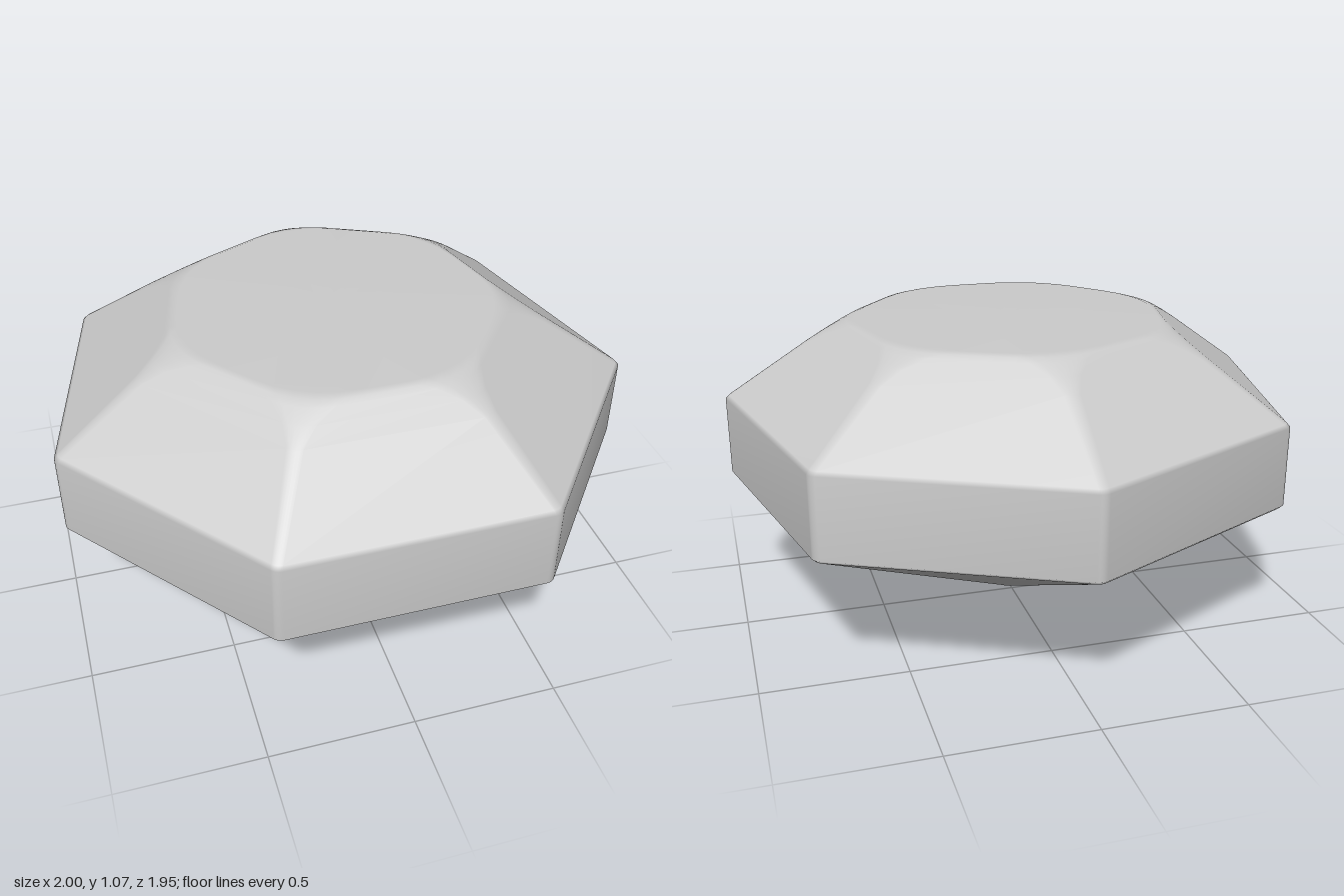
import * as THREE from 'three';

const SIDES = 7;
const STEP = (Math.PI * 2) / SIDES;
const ARC = 5; // segments per rounded corner
const CENTRE_Z = 0.049; // the seven-sided outline is not symmetric in z

// Heptagon with a flat side facing +z, corners rounded by the given radius
function ring(y, apothem, radius) {
  const points = [];
  const reach = (apothem - radius) / Math.cos(STEP / 2);
  for (let k = 0; k < SIDES; k++) {
    const corner = (k + 0.5) * STEP;
    for (let j = 0; j <= ARC; j++) {
      const a = corner + (j / ARC - 0.5) * STEP;
      points.push(
        reach * Math.sin(corner) + radius * Math.sin(a),
        y,
        reach * Math.cos(corner) + radius * Math.cos(a) + CENTRE_Z
      );
    }
  }
  return points;
}

// Skin the rings from bottom to top and cap both ends
function loft(sections) {
  const n = SIDES * (ARC + 1);
  const positions = sections.flatMap((s) => ring(...s));
  const index = [];
  for (let r = 0; r < sections.length - 1; r++) {
    for (let i = 0; i < n; i++) {
      const a = r * n + i;
      const b = r * n + ((i + 1) % n);
      index.push(a, b, b + n, a, b + n, a + n);
    }
  }
  const last = (sections.length - 1) * n;
  const bottom = positions.length / 3;
  const top = bottom + 1;
  positions.push(0, sections[0][0], CENTRE_Z, 0, sections.at(-1)[0], CENTRE_Z);
  for (let i = 0; i < n; i++) {
    const j = (i + 1) % n;
    index.push(bottom, j, i, top, last + i, last + j);
  }
  const geometry = new THREE.BufferGeometry();
  geometry.setAttribute('position', new THREE.Float32BufferAttribute(positions, 3));
  geometry.setIndex(index);
  // area-weighted normals keep the large facets flat and soften the bevels
  geometry.computeVertexNormals();
  return geometry;
}

export function createModel() {
  const group = new THREE.Group();
  group.name = 'gem';

  // [height, apothem, corner radius]
  const sections = [
    [0, 0.03, 0.01], // point
    [0.006, 0.04, 0.012],
    [0.48, 0.915, 0.04], // lower facets
    [0.492, 0.927, 0.04], // girdle
    [0.772, 0.927, 0.04],
    [0.785, 0.915, 0.04], // crown facets
    [0.98, 0.658, 0.06],
    [1.02, 0.605, 0.12],
    [1.05, 0.566, 0.23],
    [1.062, 0.55, 0.31],
    [1.07, 0.53, 0.38], // table
  ];

  const stone = new THREE.Mesh(
    loft(sections),
    new THREE.MeshStandardMaterial({ color: 0xcccccc })
  );
  stone.name = 'cutStone';
  group.add(stone);
  return group;
}
